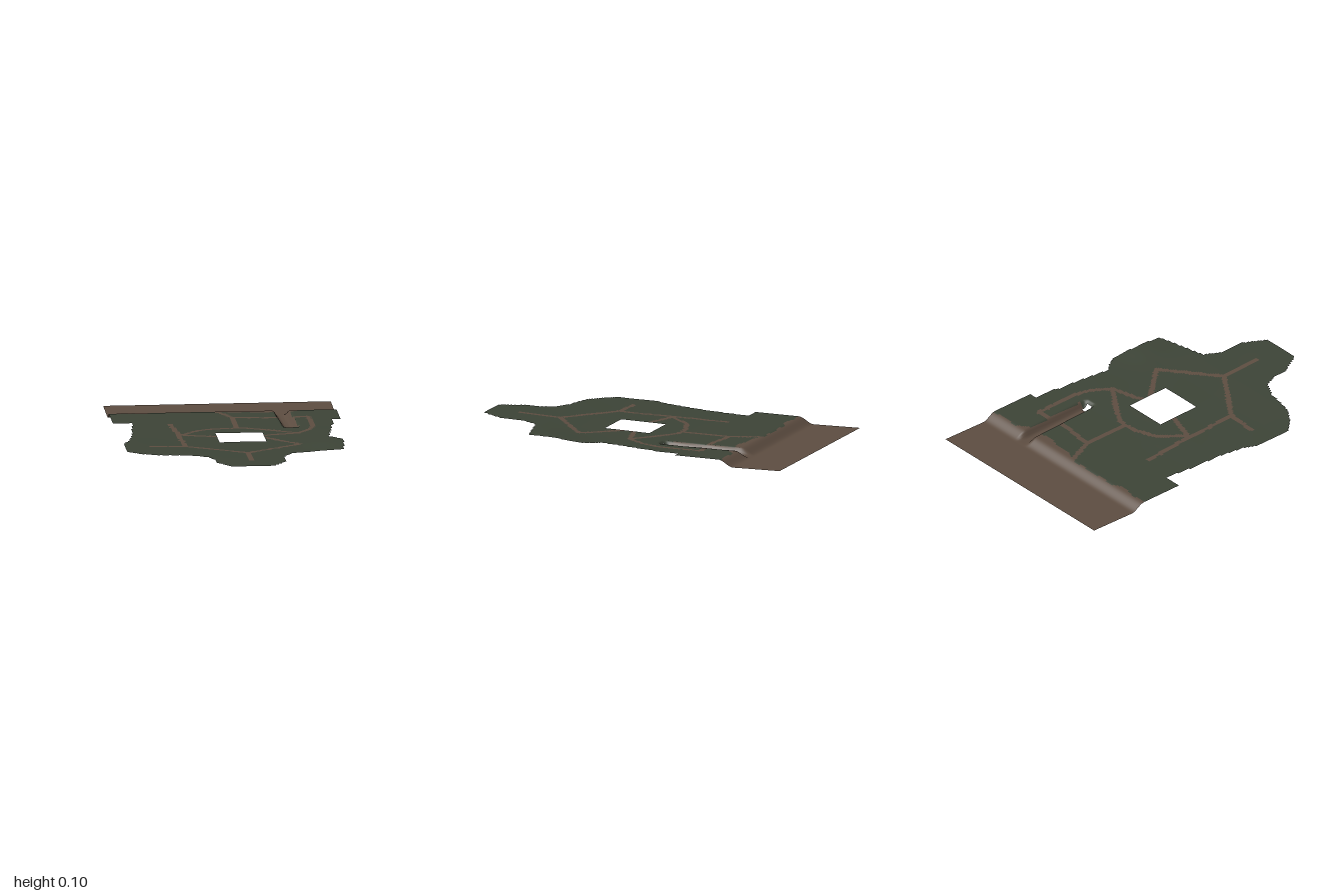
import * as THREE from 'three';

const STEP = 0.01, NX = 131, NZ = 200, X0 = -0.655, Z0 = -1;

// Ground outline, [x, z]
const OUTLINE = [
  [0.66, -1.01], [0.66, -0.355], [0.605, -0.355], [0.61, -0.23], [0.59, -0.2], [0.58, -0.1], [0.565, 0],
  [0.545, 0.13], [0.6, 0.2], [0.62, 0.24], [0.61, 0.36], [0.595, 0.56], [0.47, 0.59], [0.29, 0.63],
  [0.24, 0.72], [0.23, 0.88], [0.19, 0.94], [0.145, 1.01], [-0.08, 1.01], [-0.16, 0.87], [-0.165, 0.78],
  [-0.2, 0.7], [-0.3, 0.645], [-0.48, 0.61], [-0.57, 0.55], [-0.64, 0.48], [-0.645, 0.24], [-0.61, 0.17],
  [-0.575, 0], [-0.56, -0.2], [-0.54, -0.355], [-0.66, -0.355], [-0.66, -1.01],
];

// Footpath centre lines, [x, z]
const PATHS = [
  [[-0.04, -0.64], [0.04, -0.46], [0.04, -0.17]],
  [[0.04, -0.46], [0.24, -0.435], [0.475, -0.45], [0.48, -0.18], [0.45, -0.08], [0.375, 0.02], [0.17, 0.075]],
  [[0.375, 0.02], [0.2, -0.1], [0.1, -0.16], [0.04, -0.175], [-0.05, -0.16], [-0.17, -0.12], [-0.295, 0.015], [-0.1, 0.075]],
  [[-0.33, -0.31], [-0.31, 0], [-0.3, 0.34], [-0.49, 0.325]],
  [[-0.3, 0.34], [0.04, 0.575], [0.36, 0.34], [0.18, 0.14]],
  [[0.04, 0.575], [0.04, 0.82]],
];

// Edge between shore and grass, [x, z]
const SHORE = [
  [-0.66, -0.63], [-0.45, -0.61], [-0.38, -0.635], [-0.08, -0.64], [0.02, -0.61], [0.17, -0.59],
  [0.3, -0.58], [0.4, -0.595], [0.46, -0.635], [0.66, -0.63],
];

const smooth = THREE.MathUtils.smoothstep;

function lookup(table, t) {
  for (let i = 1; i < table.length; i++) {
    const [a, u] = table[i - 1], [b, v] = table[i];
    if (t <= b) return u + (v - u) * Math.max(0, (t - a) / (b - a));
  }
  return table[table.length - 1][1];
}

function inside(x, z) {
  let hit = false;
  OUTLINE.forEach(([ax, az], i) => {
    const [bx, bz] = OUTLINE[(i + 1) % OUTLINE.length];
    if ((az > z) !== (bz > z) && x < ax + (bx - ax) * (z - az) / (bz - az)) hit = !hit;
  });
  return hit;
}

function pathDistance(x, z) {
  let best = Infinity;
  for (const line of PATHS) {
    for (let i = 1; i < line.length; i++) {
      const [ax, az] = line[i - 1], dx = line[i][0] - ax, dz = line[i][1] - az;
      const t = THREE.MathUtils.clamp(((x - ax) * dx + (z - az) * dz) / (dx * dx + dz * dz), 0, 1);
      best = Math.min(best, Math.hypot(x - ax - dx * t, z - az - dz * t));
    }
  }
  return best;
}

// Sideways distance from the middle of the stream bed
const streamOffset = (x, z) => Math.abs(x - (0.357 + (z + 0.18) * 0.045));

// Terrain height: a gentle rise to the front, a bank to the shore and a stream cut
const RISE = [[-0.64, 0.04], [-0.2, 0.05], [0, 0.059], [0.4, 0.072], [0.6, 0.084], [1, 0.1]];
function height(x, z) {
  let y = lookup(RISE, z);
  y += 0.014 * Math.exp(-((x - 0.57) ** 2 + (z - 0.42) ** 2) / 0.02);
  y += 0.002 * Math.sin(x * 9 + 1) * Math.sin(z * 8) * smooth(z, -0.3, 0);
  y *= smooth(z, -0.715, -0.625);
  const cut = (1 - smooth(streamOffset(x, z), 0.016, 0.05)) * (1 - smooth(z, -0.19, -0.155));
  const bed = Math.min(y, 0.013 + (z + 0.18) * 0.022);
  return Math.max(0, y + (bed - y) * cut);
}

// Which part a grid square belongs to, or null for open space
function classify(x, z) {
  if (!inside(x, z)) return null;
  if (x > -0.098 && x < 0.172 && z > -0.02 && z < 0.25) return null; // square opening
  const off = streamOffset(x, z);
  if (off < 0.021 && z > -0.205 && z < -0.165) return null; // stream mouth
  if (off < 0.045 && z < -0.2) return z > -0.6 ? 'streamBed' : 'shore';
  if (z < lookup(SHORE, x) + 0.006 * Math.sin(x * 37)) return 'shore';
  const wobble = 0.002 * Math.sin(x * 160 + z * 90);
  return pathDistance(x, z) < 0.0145 + wobble ? 'footpaths' : 'grass';
}

export function createModel() {
  const group = new THREE.Group();
  group.name = 'terrain';

  const earth = new THREE.MeshStandardMaterial({ color: 0x5c4c40, side: THREE.DoubleSide });
  earth.name = 'brown earth';
  const green = new THREE.MeshStandardMaterial({ color: 0x3c4336, side: THREE.DoubleSide });
  green.name = 'dark grass';

  // Shared grid of points, so the normals run smoothly across the parts
  const points = [], all = [];
  const cells = { grass: [], shore: [], streamBed: [], footpaths: [] };
  for (let j = 0; j <= NZ; j++) {
    for (let i = 0; i <= NX; i++) {
      const x = X0 + i * STEP, z = Z0 + j * STEP;
      points.push(x, height(x, z), z);
      if (i === NX || j === NZ) continue;
      const a = j * (NX + 1) + i, b = a + NX + 1;
      const quad = [a, b, a + 1, a + 1, b, b + 1];
      all.push(...quad);
      const part = classify(x + STEP / 2, z + STEP / 2);
      if (part) cells[part].push(...quad);
    }
  }
  const sheet = new THREE.BufferGeometry();
  sheet.setAttribute('position', new THREE.Float32BufferAttribute(points, 3));
  sheet.setIndex(all);
  sheet.computeVertexNormals();

  // One mesh for each part, holding only its own squares
  for (const [name, index] of Object.entries(cells)) {
    sheet.setIndex(index);
    const mesh = new THREE.Mesh(sheet.toNonIndexed(), name === 'grass' ? green : earth);
    mesh.name = name;
    group.add(mesh);
  }
  return group;
}
